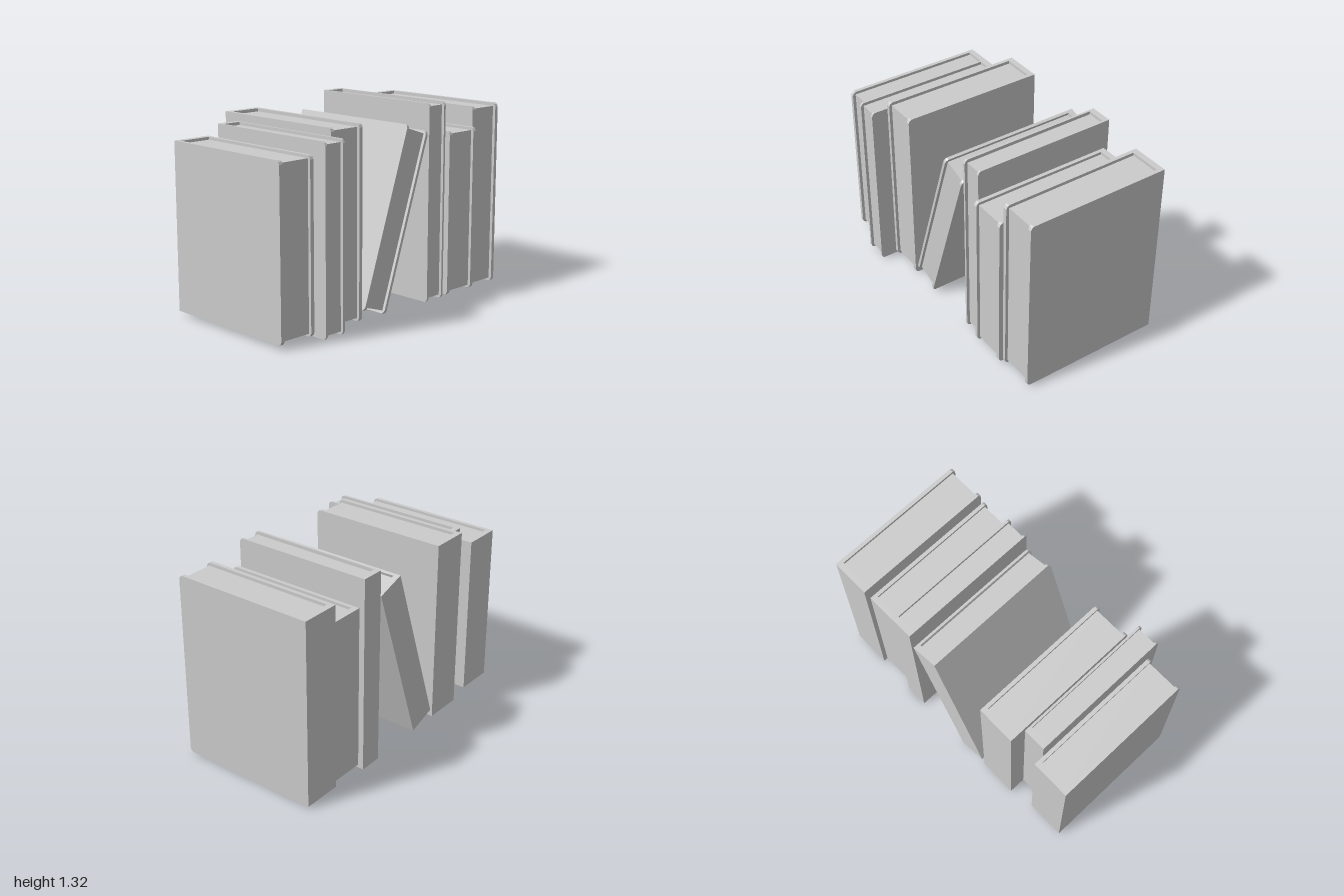
import * as THREE from 'three';

const DEPTH = 0.975; // spine to fore edge, shared by all books
const SPINE = 0.04;

// spine x, bottom y, height, centre z, thickness, lean angle
const BOOKS = [
  { x: -0.515, y: 0.03, h: 1.1, z: 0.868, w: 0.264 },
  { x: -0.43, y: 0.02, h: 1.195, z: 0.643, w: 0.157 },
  { x: -0.545, y: 0.02, h: 1.245, z: 0.433, w: 0.264 },
  { x: -0.545, y: 0.014, h: 1.197, z: -0.01, w: 0.205, lean: -0.327 },
  { x: -0.55, y: 0.005, h: 1.32, z: -0.39, w: 0.157 },
  { x: -0.515, y: 0.03, h: 1.1, z: -0.605, w: 0.264 },
  { x: -0.545, y: 0.02, h: 1.245, z: -0.868, w: 0.264 },
];

const material = new THREE.MeshStandardMaterial({ color: 0xcccccc, flatShading: true });

function addMesh(group, name, geometry, x, y, z) {
  const mesh = new THREE.Mesh(geometry, material);
  mesh.name = name;
  mesh.position.set(x, y, z);
  group.add(mesh);
}

// Board outline: square at the spine, clipped corners at the fore edge
function boardShape(h) {
  const a = DEPTH / 2, b = h / 2, c = 0.02;
  return new THREE.Shape([
    [-a, -b], [a - c, -b], [a - c * 0.4, -b + c * 0.4], [a, -b + c * 1.2],
    [a, b - c * 1.2], [a - c * 0.4, b - c * 0.4], [a - c, b], [-a, b],
  ].map(([x, y]) => new THREE.Vector2(x, y)));
}

function makeBook({ h, w }) {
  const book = new THREE.Group();
  const t = w * 0.097;       // board thickness
  const inset = h * 0.0165;  // pages sit below the cover edges
  const inner = w - 2 * t;
  const board = new THREE.ExtrudeGeometry(boardShape(h), { depth: t, bevelEnabled: false });
  addMesh(book, 'frontCover', board, 0, 0, w / 2 - t);
  addMesh(book, 'backCover', board, 0, 0, -w / 2);
  addMesh(book, 'spine', new THREE.BoxGeometry(SPINE, h, inner), (SPINE - DEPTH) / 2, 0, 0);
  const pageDepth = DEPTH - SPINE - 0.02;
  addMesh(book, 'pages', new THREE.BoxGeometry(pageDepth, h - 2 * inset, inner),
    -DEPTH / 2 + SPINE + pageDepth / 2, 0, 0);
  return book;
}

export function createModel() {
  const model = new THREE.Group();
  model.name = 'bookRow';
  BOOKS.forEach((spec, i) => {
    const { x, y, z, h, w, lean = 0 } = spec;
    const book = makeBook(spec);
    book.name = lean ? 'leaningBook' : `book${i + 1}`;
    // Raise a leaning book so its lowest corner rests at y
    const halfHeight = (h * Math.cos(lean) + w * Math.abs(Math.sin(lean))) / 2;
    book.position.set(x + DEPTH / 2, y + halfHeight, z);
    book.rotation.x = lean;
    model.add(book);
  });
  return model;
}
